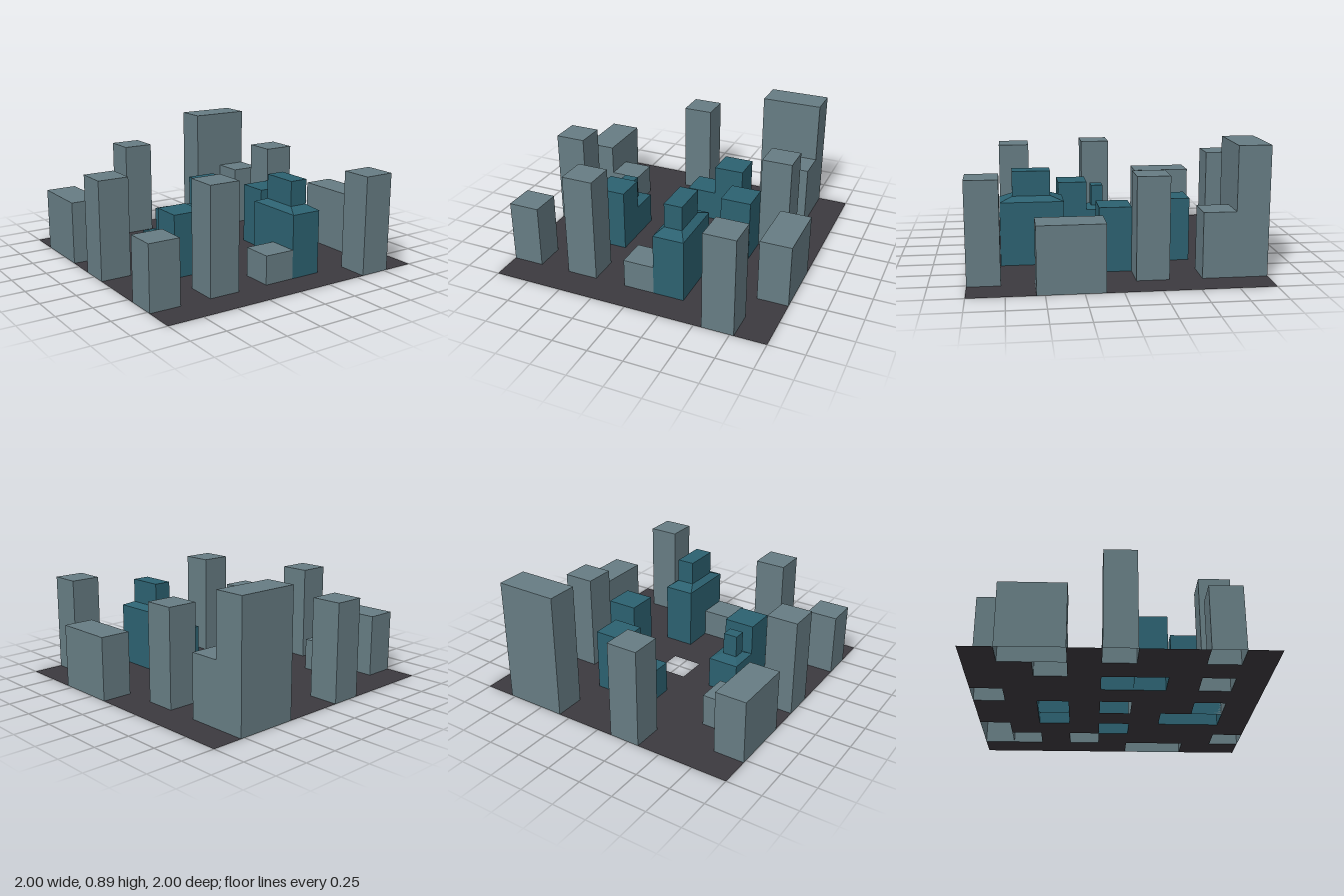
import * as THREE from 'three';
import { mergeGeometries } from 'three/addons/utils/BufferGeometryUtils.js';

const N = 9, CELL = 2 / N;
const edge = (i) => -1 + i * CELL;

const material = (name, color) => {
  const m = new THREE.MeshStandardMaterial({ color, side: THREE.DoubleSide });
  m.name = name;
  return m;
};

// Open-bottomed block lofted through rectangles [x0, x1, z0, z1, y], capped on top
function loft(rings) {
  const pos = [];
  const corners = ([x0, x1, z0, z1, y]) => [[x0, y, z1], [x1, y, z1], [x1, y, z0], [x0, y, z0]];
  const quad = (a, b, c, d) => pos.push(...a, ...b, ...c, ...a, ...c, ...d);
  for (let r = 0; r < rings.length - 1; r++) {
    const lo = corners(rings[r]), hi = corners(rings[r + 1]);
    for (let k = 0; k < 4; k++) {
      const n = (k + 1) % 4;
      quad(lo[k], lo[n], hi[n], hi[k]);
    }
  }
  quad(...corners(rings[rings.length - 1]));
  const g = new THREE.BufferGeometry();
  g.setAttribute('position', new THREE.Float32BufferAttribute(pos, 3));
  g.computeVertexNormals();
  return g;
}

export function createModel() {
  const group = new THREE.Group();
  const grey = material('greyConcrete', 0x667c83);
  const teal = material('tealGlass', 0x2c6170);
  const asphalt = material('asphalt', 0x3c393f);

  // Buildings: column, row, columns wide, rows deep, height, material, optional setback rings
  const buildings = [
    [3, 0, 1, 1, 0.70, grey],
    [6, 0, 2, 1, 0.89, grey],
    [7, 1, 1, 1, 0.45, grey],
    [0, 1, 1, 2, 0.45, grey],
    [1, 2, 1, 1, 0.23, grey],
    [7, 3, 1, 1, 0.70, grey],
    [0, 4, 1, 1, 0.70, grey],
    [8, 5, 1, 2, 0.45, grey],
    [0, 7, 1, 1, 0.45, grey],
    [2, 7, 1, 1, 0.75, grey],
    [4, 7, 1, 1, 0.205, grey],
    [7, 8, 1, 1, 0.70, grey],
    [4, 2, 1, 1, 0.23, teal],
    [5, 2, 1, 1, 0.45, teal],
    [6, 4, 1, 1, 0.45, teal],
    [2, 5, 1, 1, 0.45, teal],
    [2, 4, 1, 1, 0.23, teal, [[-0.5, -0.395, -0.02, 0.07, 0.25], [-0.5, -0.395, -0.02, 0.07, 0.41]]],
    [5, 6, 1, 2, 0.45, teal, [[0.155, 0.285, 0.425, 0.69, 0.485], [0.155, 0.285, 0.425, 0.69, 0.66]]],
  ];

  const taken = new Set([4 * N + 4]); // central opening
  for (const [c, r, w, d, h, mat, setback = []] of buildings) {
    const base = [edge(c), edge(c + w), edge(r), edge(r + d)];
    const mesh = new THREE.Mesh(loft([[...base, 0], [...base, h], ...setback]), mat);
    mesh.name = setback.length ? 'setbackTower' : mat === teal ? 'glassBuilding' : 'concreteBuilding';
    group.add(mesh);
    for (let i = c; i < c + w; i++) for (let j = r; j < r + d; j++) taken.add(j * N + i);
  }

  // Ground tiles everywhere except beneath buildings and the central opening
  const tiles = [];
  for (let j = 0; j < N; j++) {
    for (let i = 0; i < N; i++) {
      if (taken.has(j * N + i)) continue;
      const tile = new THREE.PlaneGeometry(CELL, CELL).rotateX(-Math.PI / 2);
      tiles.push(tile.translate(edge(i + 0.5), 0, edge(j + 0.5)));
    }
  }
  const ground = new THREE.Mesh(mergeGeometries(tiles), asphalt);
  ground.name = 'ground';
  group.add(ground);
  return group;
}
